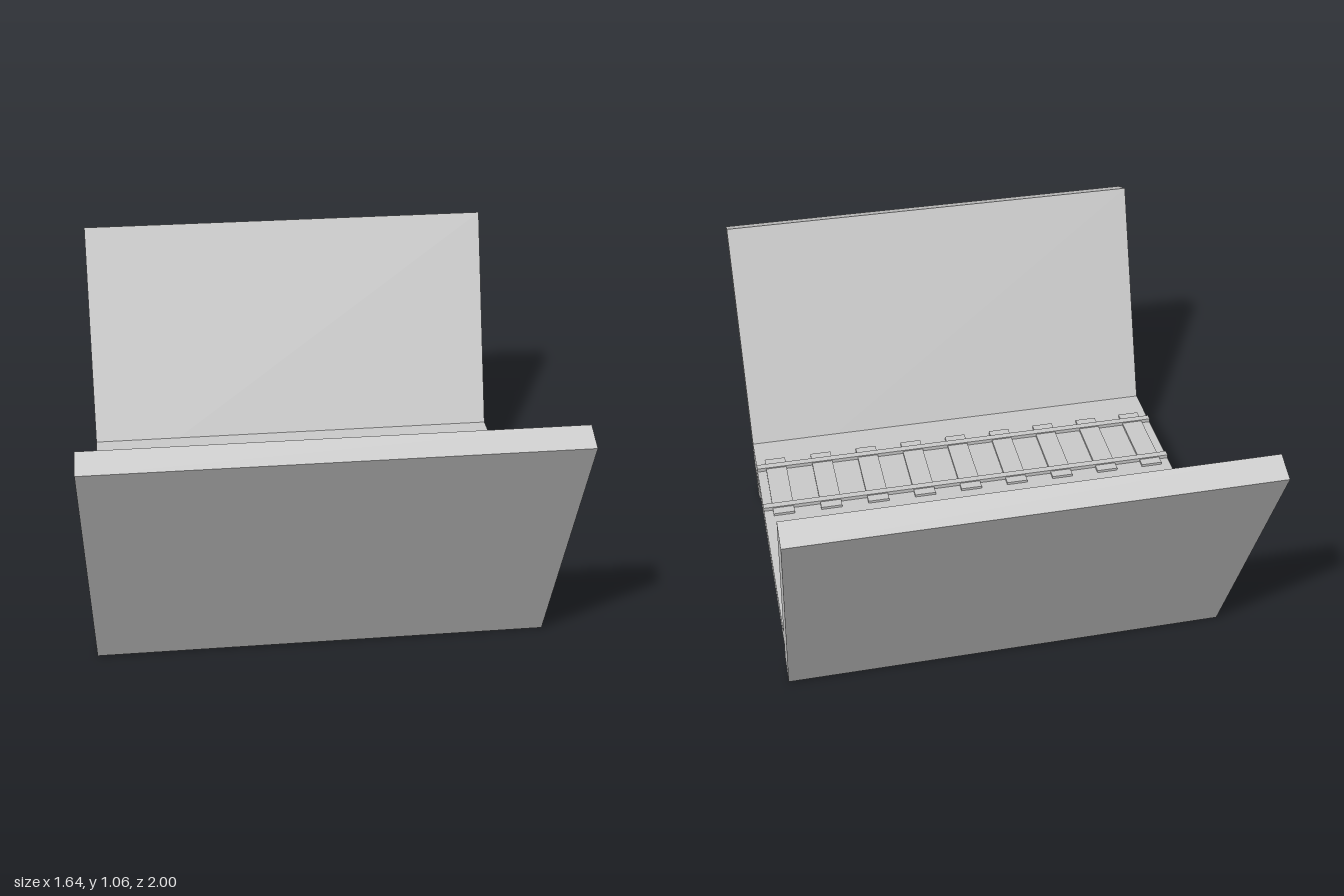
import * as THREE from 'three';

const WIDTH = 1.64;
const material = new THREE.MeshStandardMaterial({ color: 0xcccccc, flatShading: true });

// Extrudes a [z, y] outline across the full width
function slab(name, points) {
  const shape = new THREE.Shape(points.map(([z, y]) => new THREE.Vector2(-z, y)));
  const geometry = new THREE.ExtrudeGeometry(shape, { depth: WIDTH, bevelEnabled: false });
  geometry.rotateY(Math.PI / 2);
  geometry.translate(-WIDTH / 2, 0, 0);
  const mesh = new THREE.Mesh(geometry, material);
  mesh.name = name;
  return mesh;
}

function box(name, w, h, d, x, y, z) {
  const mesh = new THREE.Mesh(new THREE.BoxGeometry(w, h, d), material);
  mesh.position.set(x, y, z);
  mesh.name = name;
  return mesh;
}

export function createModel() {
  const model = new THREE.Group();
  model.name = 'trackTrough';

  // Leaning side walls, mirrored front to back
  for (const [name, s] of [['frontWall', 1], ['backWall', -1]]) {
    model.add(slab(name, [[0.56 * s, 0], [s, 1.026], [0.912 * s, 1.063], [0.472 * s, 0.037]]));
  }

  // Floor, its ends cut to the slope of the walls
  model.add(slab('floor', [[-0.524, 0.158], [0.524, 0.158], [0.563, 0.25], [-0.563, 0.25]]));

  // Railway track lying on the floor, off centre
  const track = new THREE.Group();
  track.name = 'track';
  for (const z of [0.138, 0.388]) track.add(box('rail', WIDTH, 0.015, 0.026, 0, 0.2575, z));
  for (let i = -4; i <= 4; i++) {
    track.add(box('sleeper', 0.082, 0.01, 0.346, i * 0.1858, 0.255, 0.263));
  }
  model.add(track);
  return model;
}
